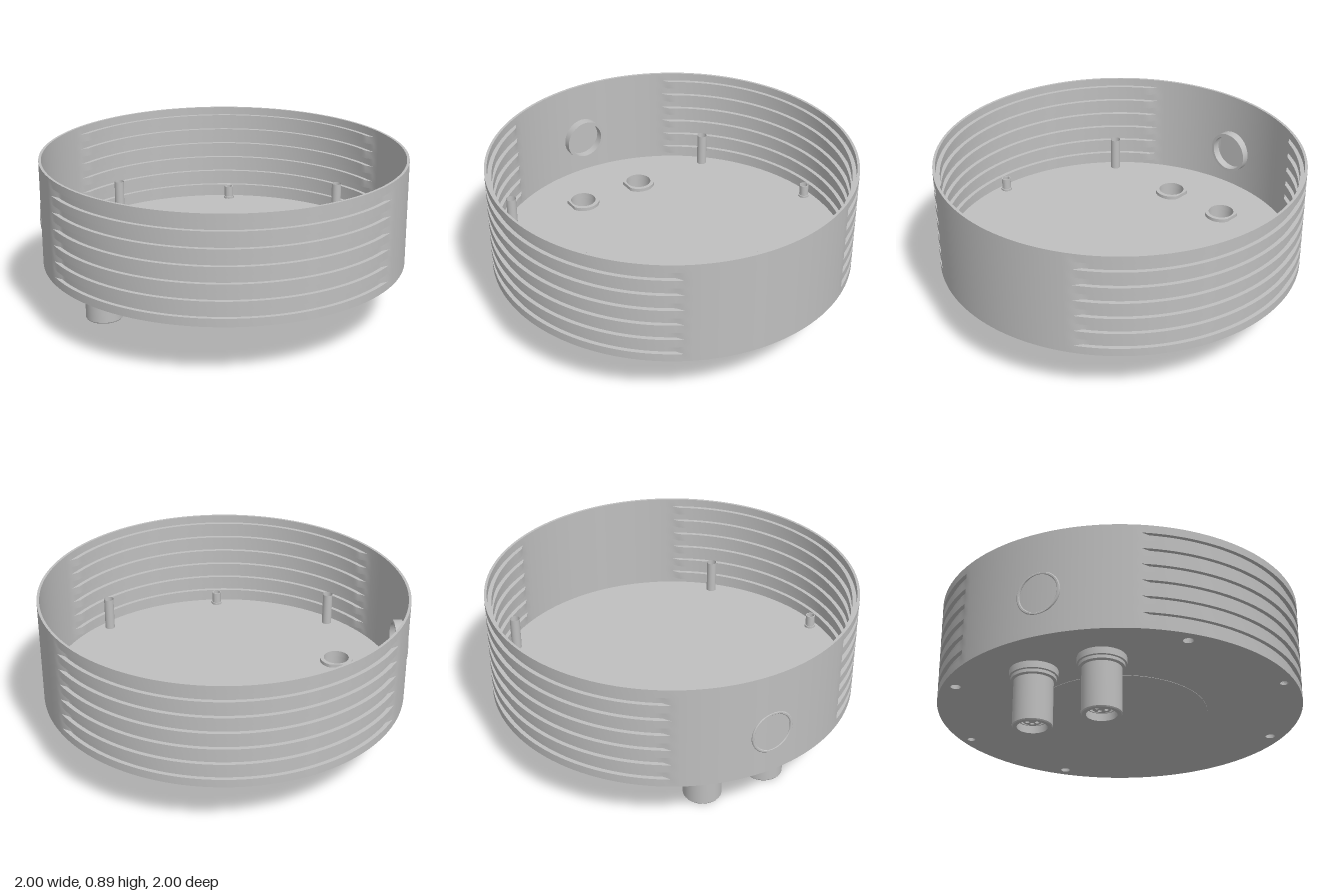
import * as THREE from 'three';
import { toCreasedNormals } from 'three/addons/utils/BufferGeometryUtils.js';

const BASE = 0.312, TOP = 0.895, FLOOR = 0.012;
const metal = new THREE.MeshStandardMaterial({ color: 0xbfbfbf, side: THREE.DoubleSide });
metal.name = 'grey metal';

function add(parent, name, geometry, x = 0, y = 0, z = 0) {
  const mesh = new THREE.Mesh(geometry, metal);
  mesh.name = name;
  mesh.position.set(x, y, z);
  parent.add(mesh);
  return mesh;
}

// Closed profile of [radius, height] turned about y, optionally reshaped by a rule.
function turned(profile, segments, rule) {
  const points = [...profile, profile[0]].map(([r, y]) => new THREE.Vector2(r, y));
  const geo = new THREE.LatheGeometry(points, segments);
  if (rule) {
    const p = geo.attributes.position;
    const v = new THREE.Vector3();
    for (let i = 0; i < p.count; i++) {
      v.fromBufferAttribute(p, i);
      rule(v);
      p.setXYZ(i, v.x, v.y, v.z);
    }
  }
  return toCreasedNormals(geo, 0.55);
}

// Flat round plate with round holes given as [x, z, radius].
function plate(radius, thickness, holes, segments = 36) {
  const shape = new THREE.Shape().absarc(0, 0, radius, 0, Math.PI * 2, false);
  for (const [x, z, r] of holes) {
    shape.holes.push(new THREE.Path().absarc(x, -z, r, 0, Math.PI * 2, true));
  }
  const geo = new THREE.ExtrudeGeometry(shape, { depth: thickness, bevelEnabled: false, curveSegments: segments });
  geo.rotateX(-Math.PI / 2);
  return toCreasedNormals(geo, 0.55);
}

// Corrugated wall: seven ridges and six grooves on the front and back arcs, plain at the sides.
function wallGeometry() {
  const depth = 0.022, bands = 13, step = (TOP - BASE) / bands;
  const outer = [], inner = [];
  for (let i = 0; i < bands; i++) {
    const sunk = i % 2 ? depth : 0;
    const y0 = BASE + i * step, y1 = y0 + step;
    outer.push([1 - sunk, y0], [1 - sunk, y1]);
    inner.push([0.986 - sunk, y0], [0.986 - sunk, y1]);
  }
  return turned([...outer, ...inner.reverse()], 144, (v) => {
    const r = Math.hypot(v.x, v.z);
    if (Math.abs(v.z) / r > 0.505) return;
    const full = r > 0.97 && r < 0.98 ? 1 : r < 0.97 ? 0.986 : r;
    v.x *= full / r;
    v.z *= full / r;
  });
}

function connector(pins) {
  const group = new THREE.Group();
  group.name = 'connector';
  // Barrel with stepped collar
  add(group, 'connectorBarrel', turned([
    [0.078, 0], [0.099, 0], [0.103, 0.006], [0.103, 0.25], [0.118, 0.255], [0.118, 0.272],
    [0.127, 0.275], [0.127, BASE], [0.072, BASE], [0.072, 0.04], [0.078, 0.04],
  ], 40));
  // Rear lock ring with two flats
  const rear = BASE + FLOOR;
  add(group, 'connectorRearRing', turned([
    [0.072, BASE], [0.094, BASE], [0.094, rear + 0.02], [0.072, rear + 0.02],
  ], 40, (v) => { v.z = THREE.MathUtils.clamp(v.z, -0.083, 0.083); }));
  // Insert with contact holes, held by a key
  const holes = [];
  for (let i = 0; i < pins; i++) {
    const a = (i / pins) * Math.PI * 2 + Math.PI / 4;
    holes.push([Math.cos(a) * 0.026, Math.sin(a) * 0.026, 0.011]);
  }
  add(group, 'contactInsert', plate(0.047, 0.17, holes, 16), 0, 0.03, 0);
  add(group, 'insertKey', new THREE.BoxGeometry(0.034, 0.15, 0.02), -0.06, 0.12, 0);
  return group;
}

export function createModel() {
  const model = new THREE.Group();
  model.name = 'roundHousing';

  add(model, 'corrugatedWall', wallGeometry());

  // Floor with screw and connector openings
  const corner = 0.656, edge = 0.94, conX = -0.656, conZ = 0.192;
  const holes = [];
  for (const s of [-1, 1]) {
    holes.push([0, s * edge, 0.022], [conX, s * conZ, 0.074]);
    for (const t of [-1, 1]) holes.push([s * corner, t * corner, 0.027]);
  }
  add(model, 'floor', plate(0.988, FLOOR, holes, 72), 0, BASE, 0);
  add(model, 'centreDisc', plate(0.48, FLOOR + 0.004, []), 0, BASE - 0.002, 0);

  // Tall corner posts and short edge posts, all hollow
  const floorTop = BASE + FLOOR;
  for (const s of [-1, 1]) {
    for (const t of [-1, 1]) {
      add(model, 'tallPost', new THREE.CylinderGeometry(0.028, 0.028, 0.19, 20, 1, true),
        s * corner, floorTop + 0.095, t * corner);
    }
    add(model, 'shortPost', turned([
      [0.021, 0], [0.031, 0], [0.031, 0.012], [0.026, 0.012], [0.026, 0.075], [0.021, 0.075],
    ], 20), 0, floorTop, s * edge);
  }

  // Pair of connectors below the floor
  for (const [s, pins] of [[-1, 5], [1, 4]]) {
    const c = connector(pins);
    c.position.set(conX, 0, s * conZ);
    model.add(c);
  }

  // Round side port through the right wall
  const port = new THREE.Group();
  port.name = 'sidePort';
  add(port, 'portRing', turned([
    [0.104, 0], [0.12, 0], [0.12, 0.062], [0.116, 0.066], [0.108, 0.066], [0.104, 0.062],
  ], 40));
  add(port, 'portDisc', plate(0.106, 0.012, []), 0, 0.046, 0);
  port.rotation.z = Math.PI / 2;
  port.position.set(-0.936, 0.55, 0);
  model.add(port);

  return model;
}
